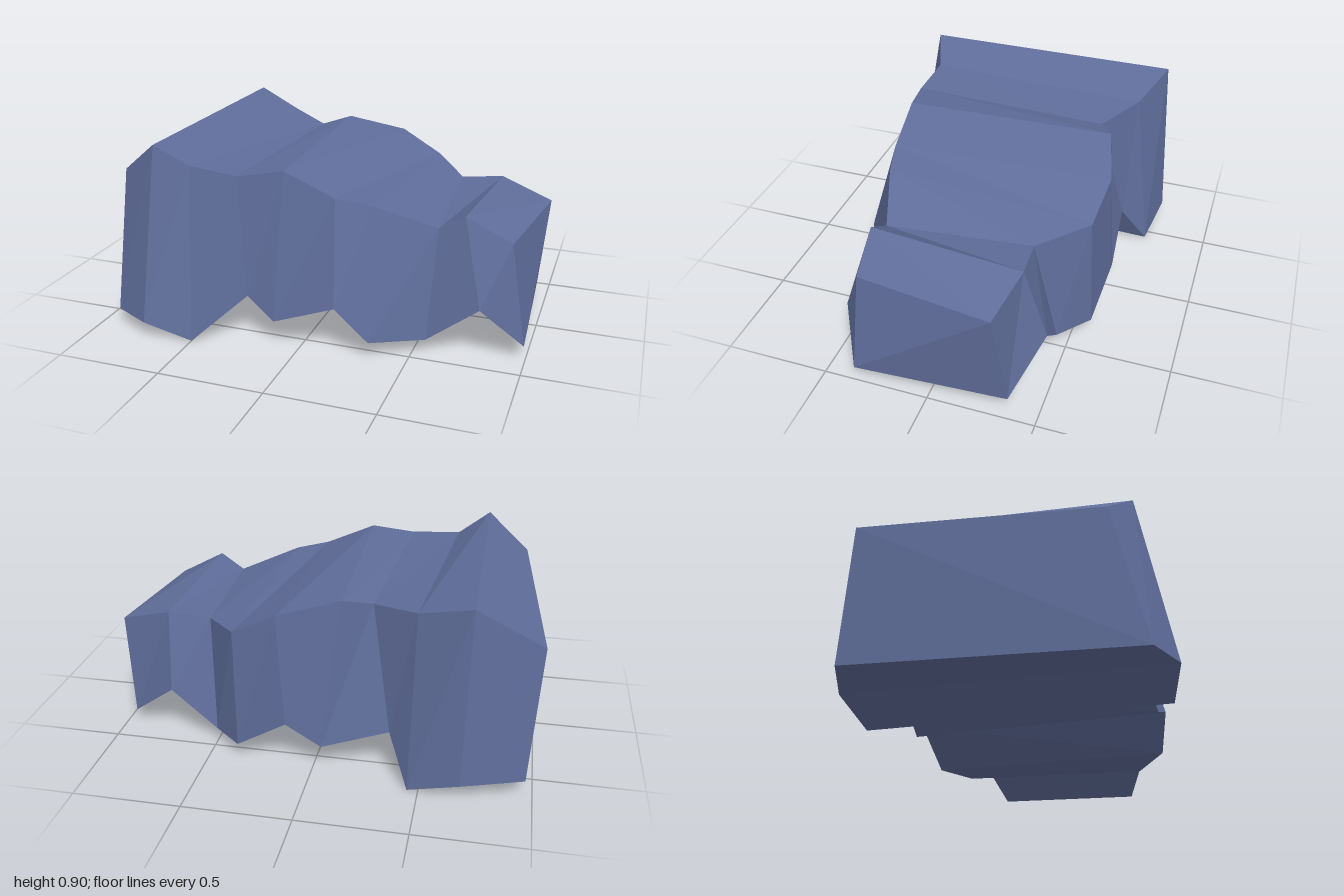
import * as THREE from 'three';

// Four long edges of the rock, each running from -x to +x as [x, y, z]
const frontBottom = [
  [-0.905, 0.08, 0.635], [-0.72, 0.08, 0.73], [-0.5, 0, 0.685], [-0.26, 0.215, 0.565], [-0.12, 0.12, 0.595],
  [0.18, 0.24, 0.615], [0.33, 0.08, 0.58], [0.56, 0.07, 0.445], [0.8, 0.26, 0.46], [0.99, 0.065, 0.355],
];
const frontTop = [
  [-0.905, 0.74, 0.48], [-0.7, 0.9, 0.57], [-0.55, 0.8, 0.515], [-0.31, 0.78, 0.53], [-0.1, 0.815, 0.49],
  [0.14, 0.71, 0.48], [0.3, 0.68, 0.44], [0.58, 0.575, 0.34], [0.7, 0.65, 0.355], [0.91, 0.54, 0.335],
];
const backTop = [
  [-1, 0.71, -0.59], [-0.7, 0.9, -0.68], [-0.46, 0.82, -0.585], [-0.25, 0.785, -0.445], [-0.12, 0.82, -0.52],
  [0.16, 0.755, -0.59], [0.37, 0.645, -0.56], [0.54, 0.6, -0.345], [0.74, 0.62, -0.36], [0.995, 0.54, -0.3],
];
const backBottom = [
  [-0.965, 0.08, -0.64], [-0.685, 0.08, -0.735], [-0.45, 0, -0.69], [-0.35, 0.215, -0.57], [-0.04, 0.115, -0.595],
  [0.12, 0.23, -0.62], [0.36, 0.075, -0.585], [0.5, 0.065, -0.455], [0.715, 0.26, -0.465], [0.95, 0.065, -0.36],
];

export function createModel() {
  const stone = new THREE.MeshStandardMaterial({ color: 0x5f6d9a });
  const edges = [frontBottom, frontTop, backTop, backBottom];
  const last = frontBottom.length - 1;
  const positions = [];
  const quad = (a, b, c, d) => positions.push(...a, ...b, ...c, ...a, ...c, ...d);

  // Skin between neighbouring cross-sections
  for (let i = 0; i < last; i++) {
    for (let j = 0; j < 4; j++) {
      const e = edges[j], f = edges[(j + 1) % 4];
      quad(e[i], e[i + 1], f[i + 1], f[i]);
    }
  }
  // End faces
  quad(frontBottom[0], frontTop[0], backTop[0], backBottom[0]);
  quad(frontBottom[last], backBottom[last], backTop[last], frontTop[last]);

  // Unshared corners give faceted normals
  const geometry = new THREE.BufferGeometry();
  geometry.setAttribute('position', new THREE.Float32BufferAttribute(positions, 3));
  geometry.computeVertexNormals();

  const rock = new THREE.Mesh(geometry, stone);
  rock.name = 'rock';
  const group = new THREE.Group();
  group.name = 'rockFormation';
  group.add(rock);
  return group;
}
